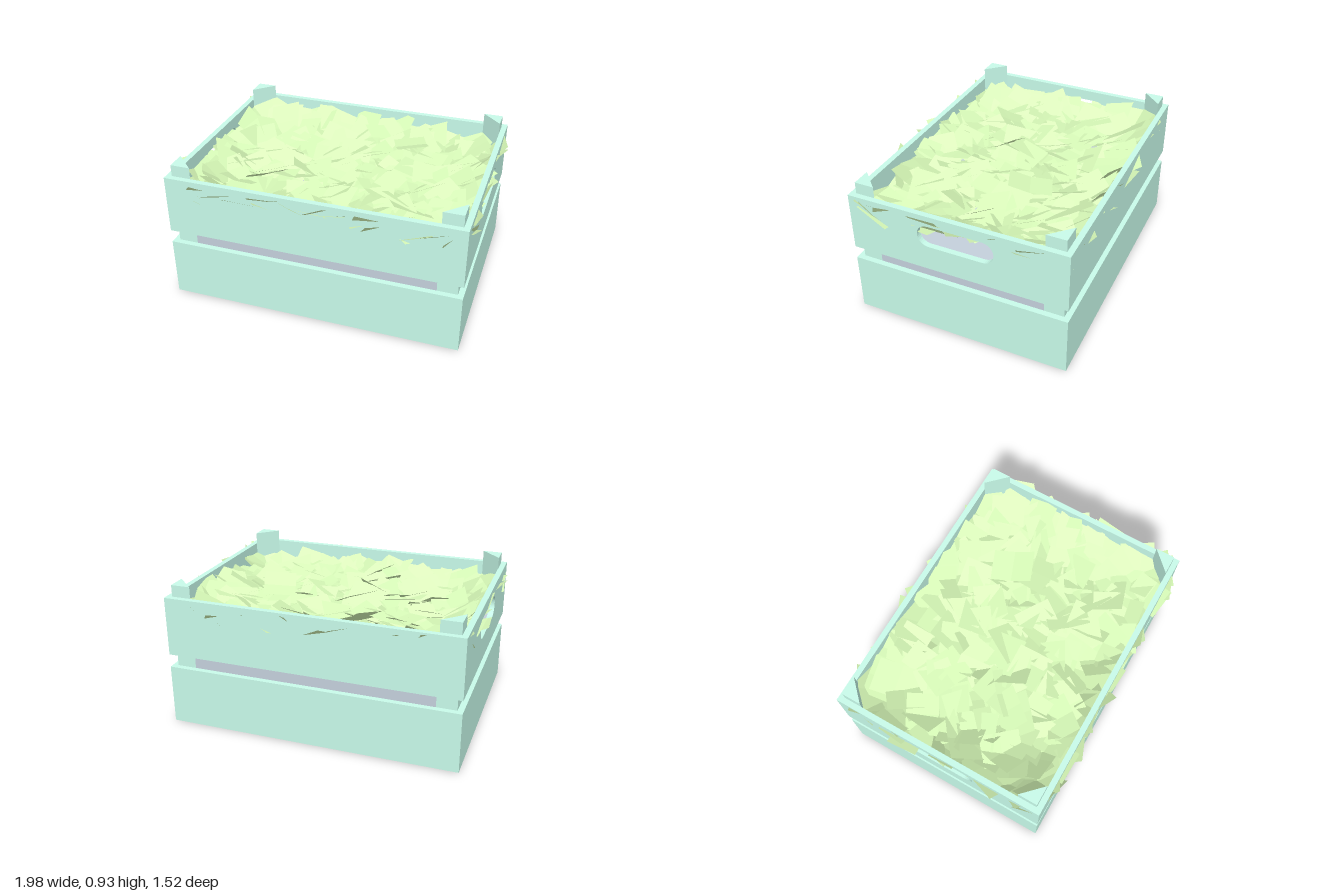
import * as THREE from 'three';

const W = 1.87, D = 1.4, T = 0.036; // crate width, depth, board thickness
const LOW = 0.385, GAP_TOP = 0.47, RIM = 0.85, POST_TOP = 0.925;

const wood = new THREE.MeshStandardMaterial({ color: 0xc8fbea });
const linerMat = new THREE.MeshStandardMaterial({ color: 0xc4d0dc });
const leafMat = new THREE.MeshStandardMaterial({ color: 0xdcffbc, side: THREE.DoubleSide, flatShading: true });

function add(parent, name, geometry, material, x = 0, y = 0, z = 0) {
  const mesh = new THREE.Mesh(geometry, material);
  mesh.name = name;
  mesh.position.set(x, y, z);
  parent.add(mesh);
}

// Box standing on y0 and reaching y1
function board(parent, name, w, y0, y1, d, x, z) {
  add(parent, name, new THREE.BoxGeometry(w, y1 - y0, d), wood, x, (y0 + y1) / 2, z);
}

// Plan outline (x, z) raised straight up
function prism(points, height) {
  const shape = new THREE.Shape(points.map(([x, z]) => new THREE.Vector2(x, -z)));
  return new THREE.ExtrudeGeometry(shape, { depth: height, bevelEnabled: false }).rotateX(-Math.PI / 2);
}

// End board with a rounded hand slot
function handleBoard() {
  const h = D / 2 - T, s = new THREE.Shape();
  s.moveTo(-h, GAP_TOP);
  s.lineTo(h, GAP_TOP);
  s.lineTo(h, RIM);
  s.lineTo(-h, RIM);
  s.closePath();
  const r = 0.0725, cy = 0.7075, half = 0.245 - r, hole = new THREE.Path();
  hole.absarc(half, cy, r, -Math.PI / 2, Math.PI / 2, false);
  hole.absarc(-half, cy, r, Math.PI / 2, Math.PI * 1.5, false);
  hole.closePath();
  s.holes.push(hole);
  return new THREE.ExtrudeGeometry(s, { depth: T, bevelEnabled: false, curveSegments: 8 })
    .translate(0, 0, -T / 2).rotateY(Math.PI / 2);
}

function seeded(seed) {
  return () => {
    seed = (seed * 16807) % 2147483647;
    return seed / 2147483647;
  };
}

// Shallow bowl of loose, slightly folded leaves, tipped up towards the walls
function leafGeometry(cols, rows) {
  const rnd = seeded(4711), span = (a) => (rnd() * 2 - 1) * a;
  const up = new THREE.Vector3(0, 1, 0), pos = [], box = new THREE.Box3();
  const yaw = new THREE.Quaternion(), tilt = new THREE.Quaternion();
  for (let i = 0; i < cols * rows; i++) {
    // Jittered grid position, -1 to 1 across the crate
    const u = THREE.MathUtils.clamp(((i % cols) / (cols - 1)) * 2 - 1 + span(0.06), -1, 1);
    const t = THREE.MathUtils.clamp((Math.floor(i / cols) / (rows - 1)) * 2 - 1 + span(0.08), -1, 1);
    const edge = Math.max(Math.abs(u), Math.abs(t)) ** 4;
    const c = new THREE.Vector3(u * 0.85, 0.67 + rnd() * 0.07 + edge * 0.03, t * 0.61);
    const normal = new THREE.Vector3(-0.65 * u ** 5 + span(0.5), 1, -0.65 * t ** 5 + span(0.5)).normalize();
    yaw.setFromAxisAngle(up, rnd() * Math.PI * 2);
    tilt.setFromUnitVectors(up, normal).multiply(yaw);
    const w = 0.085 + rnd() * 0.035, l = 0.11 + rnd() * 0.05, fold = rnd() * 0.02;
    const v = [[-w, -l], [w, -l], [-w, 0], [w, 0], [-w, l], [w, l]].map(([x, z]) =>
      new THREE.Vector3(x, z === 0 ? -fold : 0, z).applyQuaternion(tilt).add(c));
    // Keep every leaf inside the overhang limits; one leaf peeks over the rim
    box.setFromPoints(v);
    const top = i === cols * 4 + 12 ? 0.89 - box.max.y : Math.min(0, 0.845 - box.max.y);
    const shift = new THREE.Vector3(
      Math.min(0, 1 - box.max.x) + Math.max(0, -1 - box.min.x),
      top,
      Math.min(0, 0.755 - box.max.z) + Math.max(0, -0.765 - box.min.z));
    v.forEach((p) => p.add(shift));
    for (const k of [0, 2, 1, 1, 2, 3, 2, 4, 3, 3, 4, 5]) pos.push(v[k].x, v[k].y, v[k].z);
  }
  const g = new THREE.BufferGeometry();
  g.setAttribute('position', new THREE.Float32BufferAttribute(pos, 3));
  g.computeVertexNormals();
  return g;
}

export function createModel() {
  const model = new THREE.Group();
  model.name = 'leafCrate';
  const crate = new THREE.Group();
  crate.name = 'crate';
  crate.position.set(-0.01, 0, -0.01);
  model.add(crate);

  const ix = W / 2 - T, iz = D / 2 - T, leg = 0.125;
  for (const s of [-1, 1]) {
    // Side boards, lower and upper
    board(crate, 'lowerLongBoard', W, 0, LOW, T, 0, s * (D - T) / 2);
    board(crate, 'upperLongBoard', W, GAP_TOP, RIM, T, 0, s * (D - T) / 2);
    board(crate, 'lowerEndBoard', T, 0, LOW, D - 2 * T, s * (W - T) / 2, 0);
    add(crate, 'handleEndBoard', handleBoard(), wood, s * (W - T) / 2);
    // Runners under the floor
    board(crate, 'floorRunner', 2 * ix, 0, 0.1, 0.168, 0, s * 0.294);
    // Three-sided corner posts
    for (const t of [-1, 1]) {
      const x = s * ix, z = t * iz;
      add(crate, 'cornerPost', prism([[x, z], [x - s * leg, z], [x, z - t * leg]], POST_TOP - 0.1), wood, 0, 0.1, 0);
    }
  }
  board(crate, 'floor', 2 * ix, 0.1, 0.14, 2 * iz, 0, 0);

  // Filling with cut corners, between the posts
  add(crate, 'liner', prism([
    [ix, iz - leg], [ix - leg, iz], [leg - ix, iz], [-ix, iz - leg],
    [-ix, leg - iz], [leg - ix, -iz], [ix - leg, -iz], [ix, leg - iz],
  ], 0.47), linerMat, 0, 0.14, 0);

  add(model, 'leaves', leafGeometry(18, 13), leafMat);
  return model;
}
